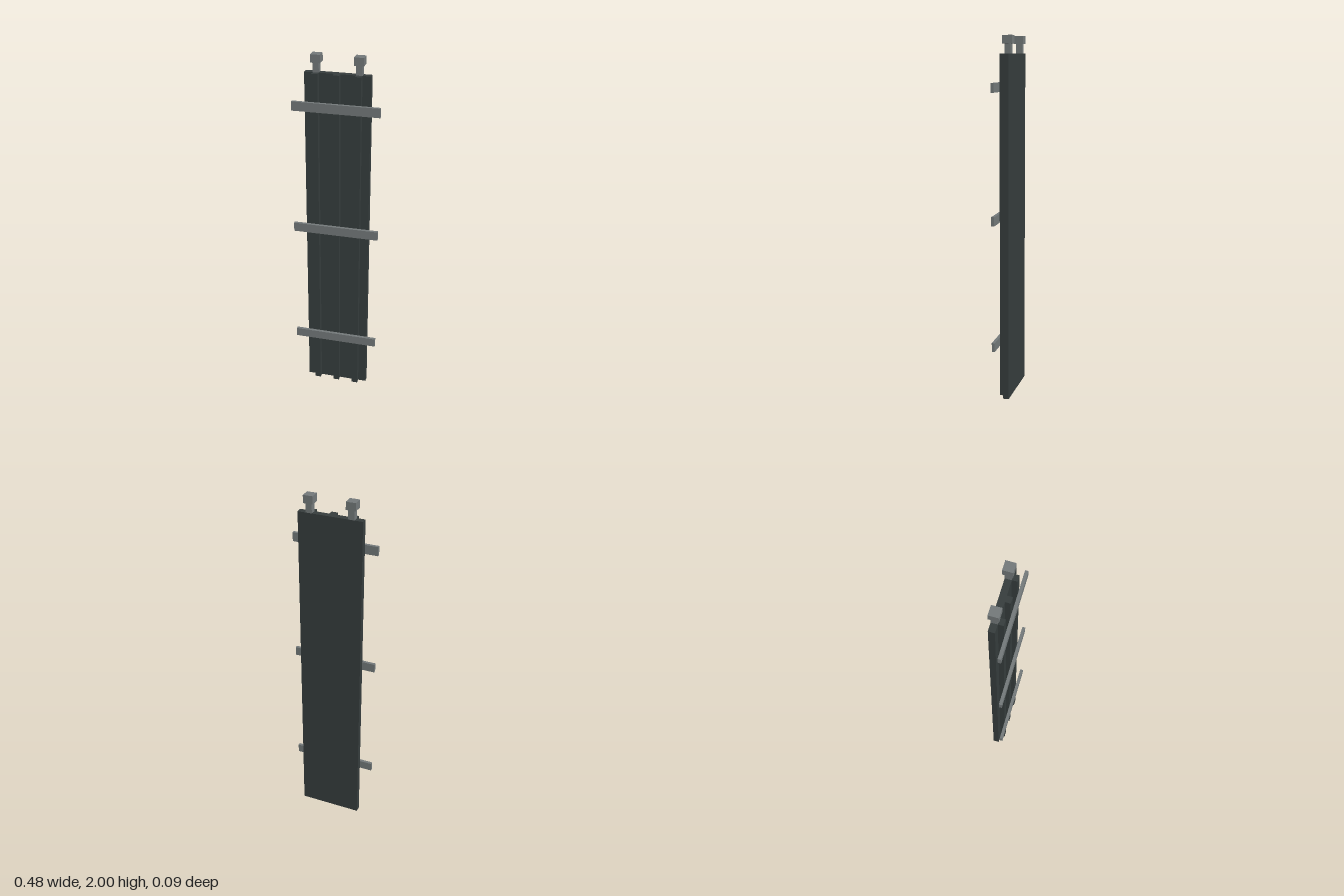
import * as THREE from 'three';

export function createModel() {
  const model = new THREE.Group();
  const darkPanel = new THREE.MeshStandardMaterial({ color: 0x363d3d });
  darkPanel.name = 'darkPanel';
  const greyMetal = new THREE.MeshStandardMaterial({ color: 0x73797a });
  greyMetal.name = 'greyMetal';

  // Box given by its min and max along each axis
  function box(name, material, [x0, x1], [y0, y1], [z0, z1]) {
    const mesh = new THREE.Mesh(new THREE.BoxGeometry(x1 - x0, y1 - y0, z1 - z0), material);
    mesh.position.set((x0 + x1) / 2, (y0 + y1) / 2, (z0 + z1) / 2);
    mesh.name = name;
    model.add(mesh);
  }
  const around = (c, size) => [c - size / 2, c + size / 2];

  const height = 1.905;
  box('backPanel', darkPanel, [-0.177, 0.177], [0, height], [-0.036, -0.002]);

  // Vertical ribs on the front
  for (const x of [-0.115, 0, 0.115]) {
    box('rib', darkPanel, around(x, 0.034), [0, height], [-0.002, 0.026]);
  }

  // Horizontal crossbars over the ribs
  for (const y of [0.32, 1.025, 1.73]) {
    box('crossbar', greyMetal, around(0, 0.476), around(y, 0.05), [0.026, 0.043]);
  }

  // Square posts with caps on the top edge
  for (const x of [-0.115, 0.115]) {
    box('postStem', greyMetal, around(x, 0.034), [height, 1.957], around(-0.019, 0.034));
    box('postCap', greyMetal, around(x, 0.053), [1.957, 2], around(-0.019, 0.053));
  }
  return model;
}
